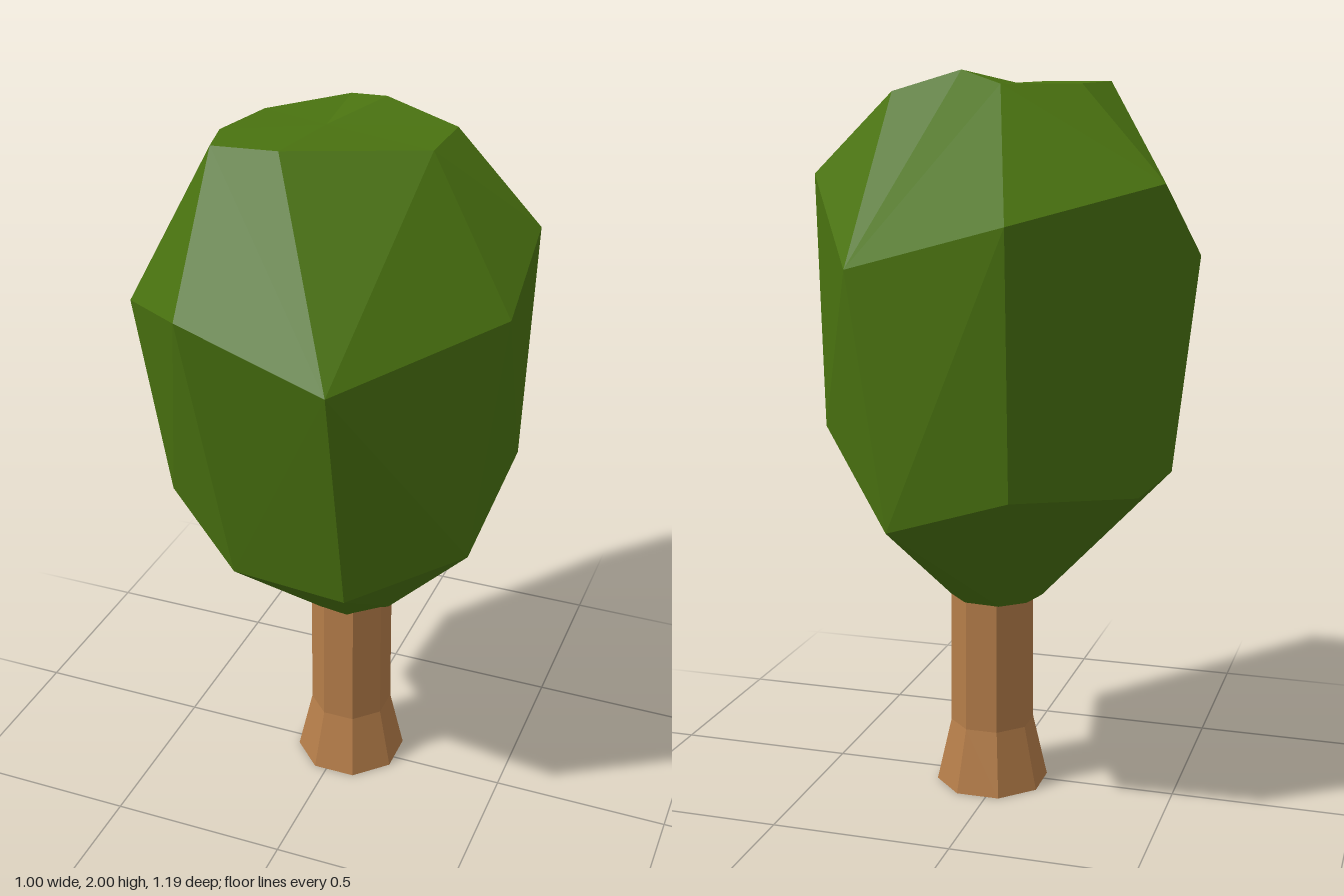
import * as THREE from 'three';

// Skin a stack of equal-length rings (ordered front to +x), closing both ends.
function loft(rings) {
  const pos = [];
  const tri = (...pts) => pts.forEach((p) => pos.push(p.x, p.y, p.z));
  const count = rings[0].length;
  for (let r = 0; r < rings.length - 1; r++) {
    for (let i = 0; i < count; i++) {
      const j = (i + 1) % count;
      const a = rings[r][i], b = rings[r][j], c = rings[r + 1][j], d = rings[r + 1][i];
      // split each facet along the diagonal that bulges outwards
      const n = b.clone().sub(a).cross(c.clone().sub(a));
      if (n.dot(d.clone().sub(a)) <= 0) { tri(a, b, c); tri(a, c, d); }
      else { tri(a, b, d); tri(b, c, d); }
    }
  }
  const cap = (ring, up) => {
    const mid = new THREE.Vector3();
    ring.forEach((p) => mid.addScaledVector(p, 1 / count));
    ring.forEach((p, i) => {
      const q = ring[(i + 1) % count];
      if (up) tri(mid, p, q); else tri(mid, q, p);
    });
  };
  cap(rings[0], false);
  cap(rings[rings.length - 1], true);
  const geo = new THREE.BufferGeometry();
  geo.setAttribute('position', new THREE.Float32BufferAttribute(pos, 3));
  geo.computeVertexNormals();
  return geo;
}

const ring = (points) => points.map((p) => new THREE.Vector3(...p));

// Regular octagon with a flat side facing the front
function octagon(radius, y) {
  return Array.from({ length: 8 }, (_, i) => {
    const t = (i - 0.5) * Math.PI / 4;
    return new THREE.Vector3(0.024 + radius * Math.sin(t), y, -0.022 + radius * Math.cos(t));
  });
}

export function createModel() {
  const leafGreen = new THREE.MeshStandardMaterial({ color: 0x4a7310, flatShading: true });
  leafGreen.name = 'leafGreen';
  const barkBrown = new THREE.MeshStandardMaterial({ color: 0xb57d49, flatShading: true });
  barkBrown.name = 'barkBrown';

  const tree = new THREE.Group();
  tree.name = 'tree';

  // Trunk with flared foot
  const trunk = new THREE.Mesh(
    loft([octagon(0.159, 0), octagon(0.118, 0.18), octagon(0.116, 0.6)]), barkBrown);
  trunk.name = 'trunk';

  // Irregular faceted crown: base, lower belt, upper belt, top
  const crown = new THREE.Mesh(loft([
    ring([[-0.03, 0.555, 0.08], [0.05, 0.55, 0.085], [0.14, 0.535, -0.02], [0.13, 0.545, -0.05],
      [0.07, 0.555, -0.13], [-0.03, 0.555, -0.14], [-0.09, 0.55, -0.07], [-0.11, 0.548, 0.02]]),
    ring([[-0.17, 0.815, 0.36], [0.17, 0.835, 0.42], [0.425, 0.885, 0.17], [0.46, 1.04, -0.16],
      [0.17, 0.84, -0.48], [-0.165, 0.95, -0.51], [-0.43, 0.91, -0.21], [-0.45, 0.9, 0.15]]),
    ring([[-0.22, 1.615, 0.54], [0.19, 1.515, 0.595], [0.5, 1.57, 0.14], [0.5, 1.725, -0.105],
      [0.265, 1.515, -0.495], [-0.18, 1.64, -0.597], [-0.495, 1.725, -0.255], [-0.505, 1.5, 0.225]]),
    ring([[-0.23, 1.97, 0.28], [-0.06, 1.97, 0.26], [0.26, 1.945, 0.05], [0.26, 1.945, -0.145],
      [0.065, 2, -0.155], [-0.07, 1.965, -0.255], [-0.23, 1.965, -0.05], [-0.26, 1.97, 0.16]]),
  ]), leafGreen);
  crown.name = 'crown';

  tree.add(trunk, crown);
  return tree;
}
